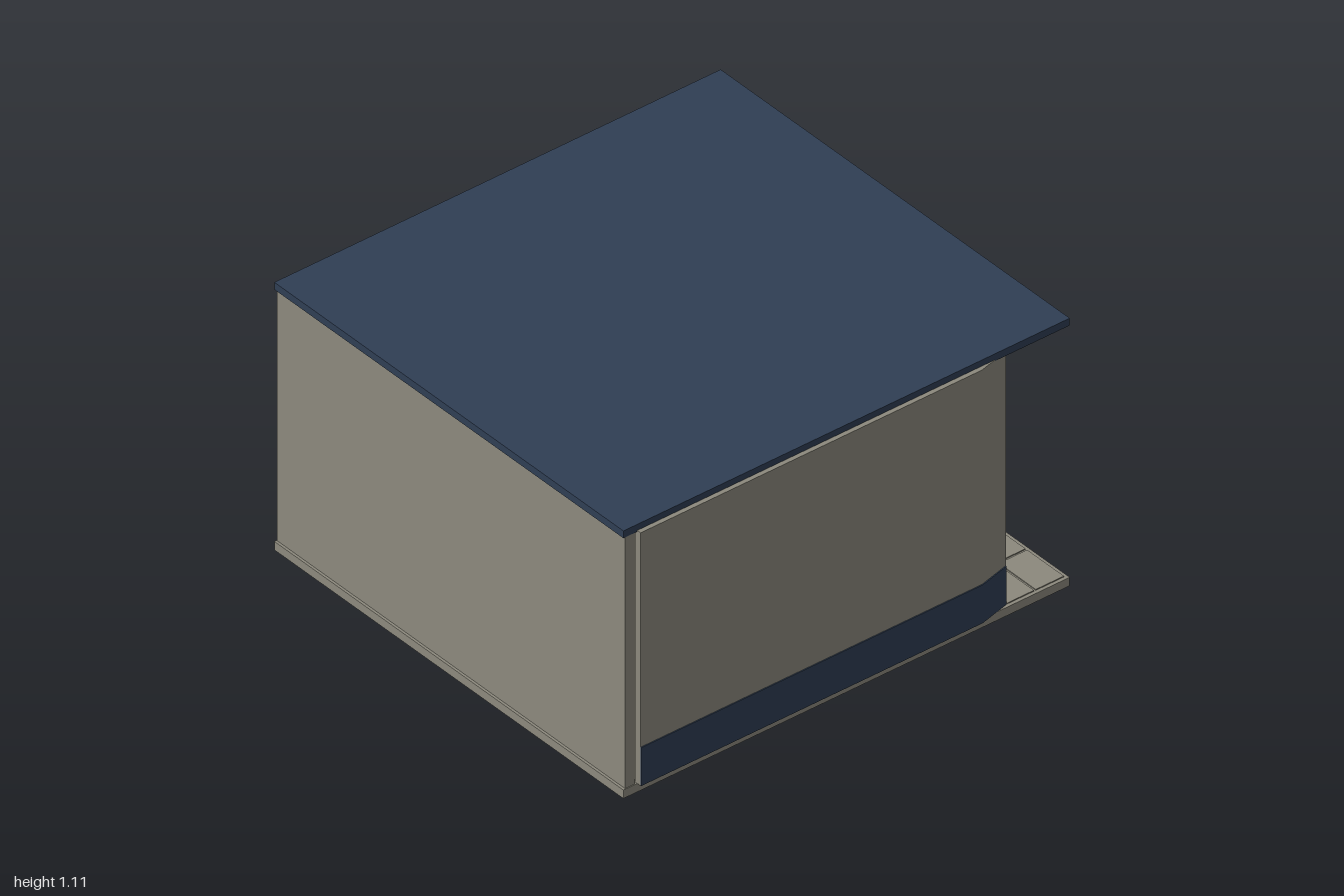
import * as THREE from 'three';

const mat = (name, color, side = THREE.FrontSide) => {
  const m = new THREE.MeshStandardMaterial({ color, side });
  m.name = name;
  return m;
};

export function createModel() {
  const stone = mat('warm grey stone', 0x8c897d);
  const navy = mat('navy blue', 0x2f3e54);
  const cream = mat('pale stone trim', 0xb5ad96);
  const glass = mat('pale blue glass', 0x8f9db3);
  const wood = mat('brown wood', 0x6b4528);
  const root = new THREE.Group();
  root.name = 'pavilion';

  const add = (parent, name, geometry, material, x = 0, y = 0, z = 0) => {
    const m = new THREE.Mesh(geometry, material);
    m.name = name;
    m.position.set(x, y, z);
    parent.add(m);
    return m;
  };
  // box given by its lower and upper corners
  const box = (parent, name, material, [x0, y0, z0], [x1, y1, z1]) =>
    add(parent, name, new THREE.BoxGeometry(x1 - x0, y1 - y0, z1 - z0), material,
      (x0 + x1) / 2, (y0 + y1) / 2, (z0 + z1) / 2);

  // pointed arch outline
  const arch = (Type, half, bottom, spring, apex) => {
    const p = new Type();
    const h = apex - spring;
    p.moveTo(-half, bottom);
    p.lineTo(half, bottom);
    p.lineTo(half, spring);
    p.quadraticCurveTo(half * 0.9, spring + h * 0.6, 0, apex);
    p.quadraticCurveTo(-half * 0.9, spring + h * 0.6, -half, spring);
    p.closePath();
    return p;
  };
  const extrude = (shape, depth) =>
    new THREE.ExtrudeGeometry(shape, { depth, bevelEnabled: false, curveSegments: 10 });

  const archFrame = (parent, half, bottom, spring, apex, t = 0.024) => {
    const ring = arch(THREE.Shape, half, bottom, spring, apex);
    ring.holes.push(arch(THREE.Path, half - t, bottom + t, spring, apex - t * 1.5));
    add(parent, 'archFrame', extrude(ring, 0.03), cream);
  };
  const archWindow = (parent, half, bottom, spring, apex) => {
    archFrame(parent, half, bottom, spring, apex);
    add(parent, 'windowRim', extrude(arch(THREE.Shape, half - 0.02, bottom + 0.02, spring, apex - 0.03), 0.006), navy);
    add(parent, 'windowPane', extrude(arch(THREE.Shape, half - 0.03, bottom + 0.04, spring, apex - 0.055), 0.009), glass);
  };

  // floor, roof and front wall
  box(root, 'floorSlab', stone, [-0.925, 0, -0.935], [0.925, 0.035, 1]);
  box(root, 'roofSlab', navy, [-0.925, 1.075, -0.935], [0.925, 1.105, 1]);
  box(root, 'frontWall', stone, [-0.922, 0.035, 0.95], [0.922, 1.075, 0.99]);

  // side walls with a bent rear end and a painted base band
  for (const s of [-1, 1]) {
    const strip = (outer, inner) => {
      const pts = [[outer, 0.94], [outer, -0.54], [outer - 0.033, -0.67],
        [inner - 0.033, -0.67], [inner, -0.54], [inner, 0.94]];
      return new THREE.Shape(pts.map(([x, z]) => new THREE.Vector2(s * x, -z)));
    };
    const wall = add(root, 'sideWall', extrude(strip(0.943, 0.913), 1.045), stone, 0, 0.035, 0);
    const band = add(root, 'baseBand', extrude(strip(0.947, 0.942), 0.158), navy, 0, 0.037, 0);
    wall.rotation.x = band.rotation.x = -Math.PI / 2;
  }

  // bowed rear facade, from the model's left to its right
  const corners = [[0.89, -0.67], [0.53, -0.8], [0.175, -0.87], [-0.175, -0.87], [-0.53, -0.8], [-0.89, -0.67]];
  const bays = [];
  for (let i = 0; i < 5; i++) {
    const [ax, az] = corners[i];
    const [bx, bz] = corners[i + 1];
    const dx = bx - ax;
    const dz = bz - az;
    const width = Math.hypot(dx, dz);
    const bay = new THREE.Group();
    bay.name = 'rearBay';
    bay.position.set((ax + bx) / 2, 0, (az + bz) / 2);
    bay.rotation.y = Math.atan2(-dz, dx);
    box(bay, 'rearWall', stone, [-width / 2, 0.035, -0.03], [width / 2, 1.078, 0]);
    root.add(bay);
    bays.push(bay);
  }
  corners.forEach(([x, z]) =>
    add(root, 'rearPost', new THREE.CylinderGeometry(0.014, 0.014, 1.043, 8), stone, x, 0.556, z));

  // tall windows on the right-hand bays, a low one on the left
  archWindow(bays[3], 0.128, 0.06, 0.6, 0.935);
  archWindow(bays[4], 0.128, 0.06, 0.6, 0.935);
  archWindow(bays[1], 0.125, 0.04, 0.4, 0.69);

  // arched wooden door and its hanging panel in the middle bay
  add(bays[2], 'woodenDoor', extrude(arch(THREE.Shape, 0.14, 0.036, 0.62, 0.95), 0.02), wood);
  box(bays[2], 'middleScreen', navy, [-0.175, 0.04, 0.062], [0.175, 1.012, 0.078]);

  // wooden counter and outer panel in the next bay
  box(bays[1], 'counterBody', wood, [-0.14, 0.035, 0.04], [0.14, 0.52, 0.11]);
  box(bays[1], 'counterTop', wood, [-0.15, 0.52, 0.032], [0.15, 0.54, 0.118]);
  box(bays[1], 'counterBack', wood, [-0.12, 0.54, 0.08], [0.12, 0.63, 0.105]);
  box(bays[1], 'outerScreen', navy, [-0.162, 0.036, 0.122], [0.17, 1.012, 0.142]);

  // paving on the rear terrace
  for (let i = 0; i < 9; i++) {
    for (let j = 0; j < 2; j++) {
      const x = -0.915 + i * 0.2034;
      const z = -0.925 + j * 0.13;
      box(root, 'pavingTile', stone, [x + 0.004, 0.034, z + 0.004], [x + 0.199, 0.039, z + 0.126]);
    }
  }
  return root;
}
